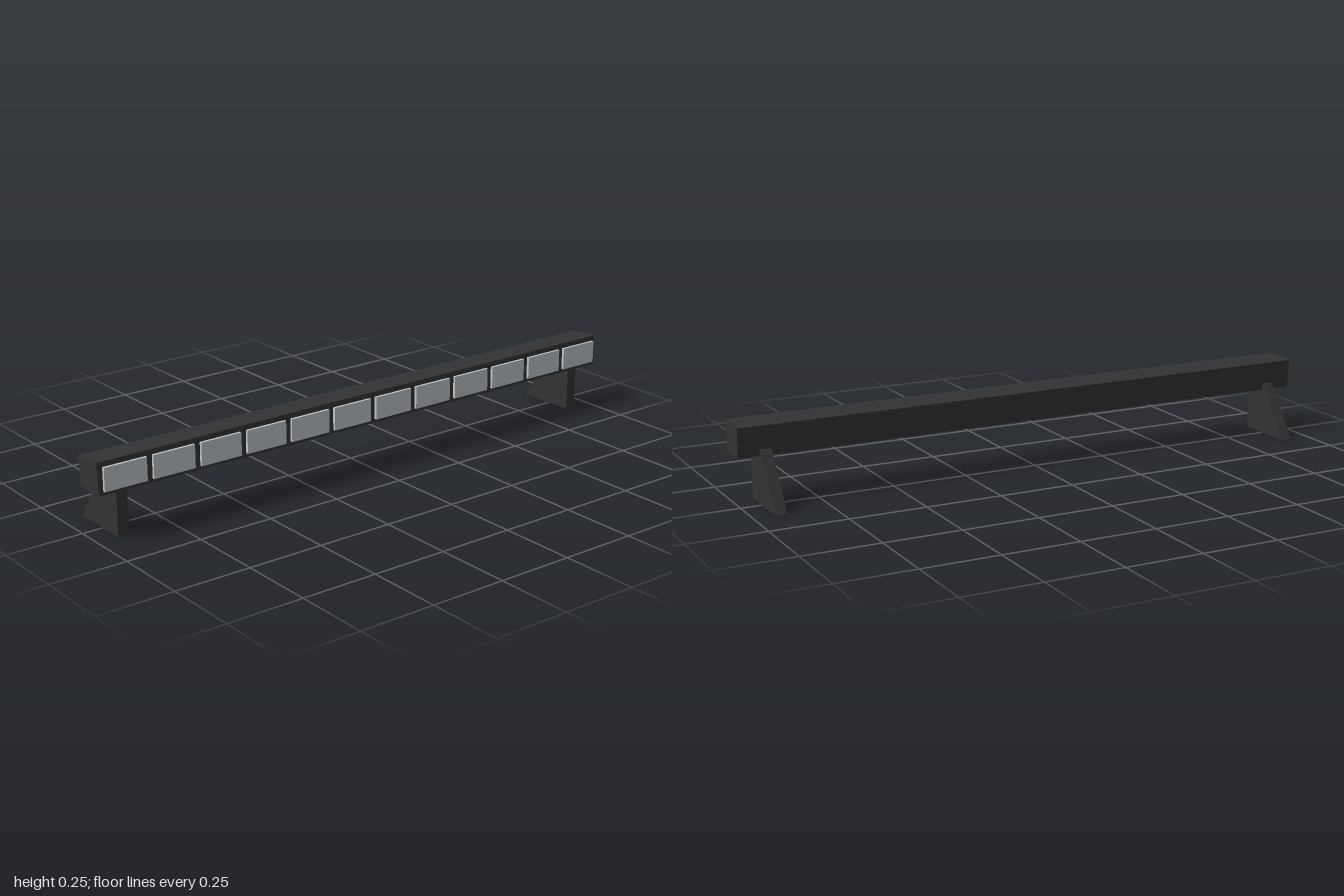
import * as THREE from 'three';

const dark = new THREE.MeshStandardMaterial({ color: 0x333333 });
dark.name = 'charcoal housing';
const pale = new THREE.MeshStandardMaterial({ color: 0xbfc5c9 });
pale.name = 'pale grey lens';

// Extrudes a [z, y] cross-section along x, centred on the given x
function profileAlongX(name, points, width, x) {
  const shape = new THREE.Shape(points.map(([z, y]) => new THREE.Vector2(z, y)));
  const geometry = new THREE.ExtrudeGeometry(shape, { depth: width, bevelEnabled: false });
  geometry.translate(0, 0, -width / 2).rotateY(-Math.PI / 2);
  const mesh = new THREE.Mesh(geometry, dark);
  mesh.name = name;
  mesh.position.x = x;
  return mesh;
}

export function createModel() {
  const model = new THREE.Group();
  model.name = 'lightBar';

  // Long housing, leaning slightly back
  model.add(profileAlongX('housing',
    [[0.11, 0.152], [0.104, 0.254], [0.001, 0.247], [0.007, 0.152]], 2, 0));

  // Wedge-shaped mounting brackets
  for (const [name, side] of [['leftBracket', 1], ['rightBracket', -1]]) {
    model.add(profileAlongX(name,
      [[0.089, 0], [0.089, 0.173], [0, 0.173], [-0.117, 0]], 0.037, side * 0.913));
  }

  // Row of lamp lenses along the front
  const lenses = new THREE.Group();
  lenses.name = 'lenses';
  const lensGeometry = new THREE.BoxGeometry(0.144, 0.075, 0.009);
  const count = 12;
  for (let i = 0; i < count; i++) {
    const lens = new THREE.Mesh(lensGeometry, pale);
    lens.name = `lens${i + 1}`;
    lens.position.set((i - (count - 1) / 2) * 0.166, 0.202, 0.114);
    lenses.add(lens);
  }
  model.add(lenses);
  return model;
}
